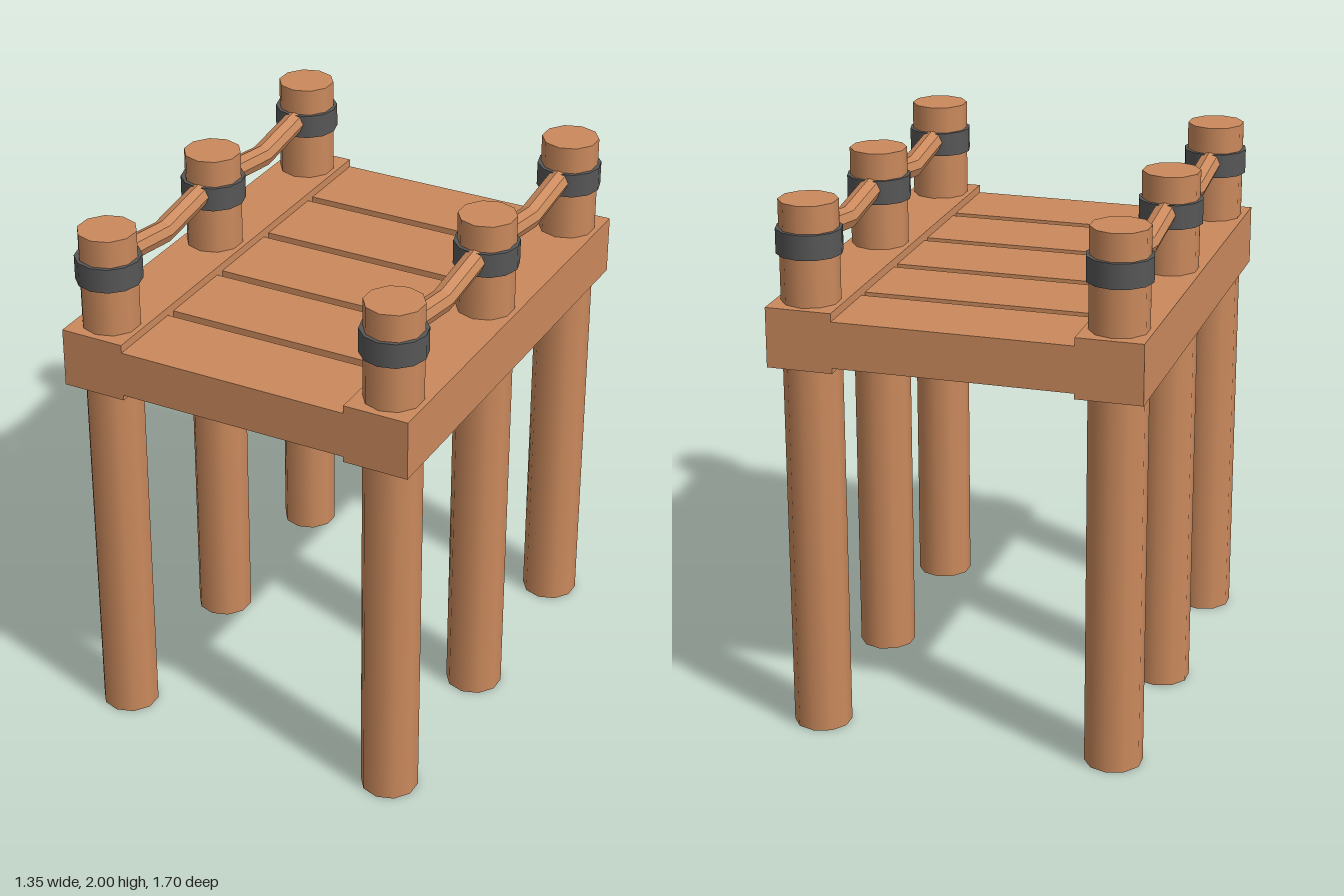
import * as THREE from 'three';

const POST_X = 0.556;
const POST_Z = [-0.7175, 0, 0.7175];
const HALF_DEPTH = 0.849;

export function createModel() {
  const wood = new THREE.MeshStandardMaterial({ color: 0xcb8a5d });
  wood.name = 'wood';
  const ropeWood = new THREE.MeshStandardMaterial({ color: 0xcb8a5d, flatShading: true });
  ropeWood.name = 'ropeBrown';
  const iron = new THREE.MeshStandardMaterial({ color: 0x575757 });
  iron.name = 'darkIron';

  const model = new THREE.Group();
  model.name = 'dock';
  const add = (name, geometry, material, x, y, z) => {
    const mesh = new THREE.Mesh(geometry, material);
    mesh.name = name;
    mesh.position.set(x, y, z);
    model.add(mesh);
    return mesh;
  };

  const postGeo = new THREE.CylinderGeometry(0.106, 0.106, 2, 10);
  const bandGeo = new THREE.CylinderGeometry(0.119, 0.119, 0.09, 12);
  const beamGeo = new THREE.BoxGeometry(0.242, 0.22, HALF_DEPTH * 2);

  // One sagging rope: two straight octagonal lengths meeting in a mitred bend
  const span = POST_Z[1] - POST_Z[0];
  const ropeGeo = new THREE.CylinderGeometry(0.043, 0.043, span, 8, 2);
  ropeGeo.rotateX(Math.PI / 2);
  const p = ropeGeo.attributes.position;
  for (let i = 0; i < p.count; i++) {
    p.setY(i, p.getY(i) + 1.828 + 0.143 * Math.abs(p.getZ(i)));
  }
  ropeGeo.computeVertexNormals();

  for (const side of [-1, 1]) {
    const x = side * POST_X;
    add('sideBeam', beamGeo, wood, x, 1.525, 0);
    for (const z of POST_Z) {
      add('post', postGeo, wood, x, 1, z);
      add('postBand', bandGeo, iron, x, 1.855, z);
    }
    for (const z of [-span / 2, span / 2]) add('rope', ropeGeo, ropeWood, x, 0, z);
  }

  // Deck planks, set slightly below the beam tops with narrow gaps
  const plankWidth = 0.31;
  const step = (HALF_DEPTH * 2 - plankWidth) / 4;
  const plankGeo = new THREE.BoxGeometry(0.87, 0.17, plankWidth);
  for (let i = -2; i <= 2; i++) add('deckPlank', plankGeo, wood, 0, 1.52, i * step);

  return model;
}
